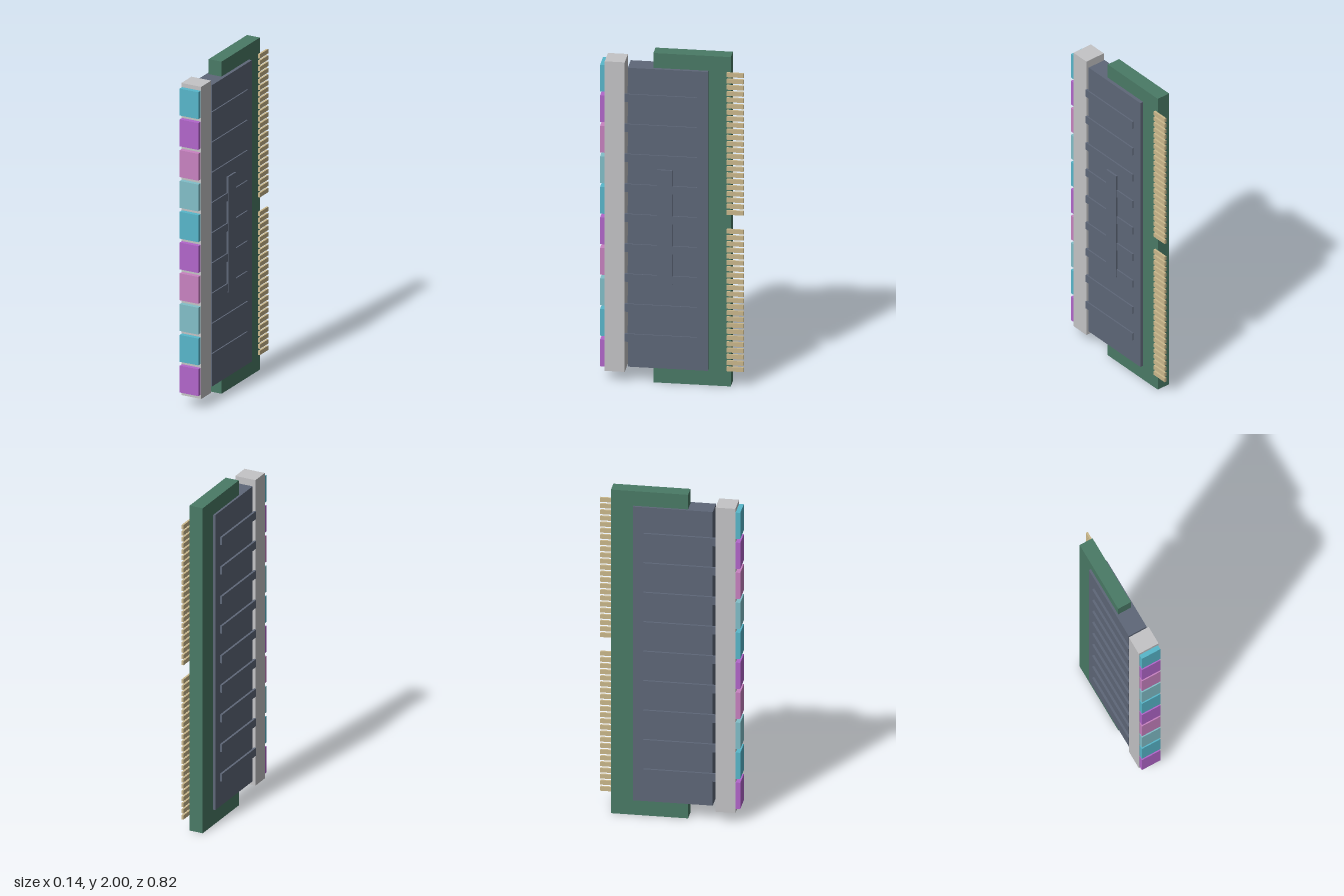
import * as THREE from 'three';

const mat = (name, color) => {
  const m = new THREE.MeshStandardMaterial({ color });
  m.name = name;
  return m;
};

export function createModel() {
  const board = mat('board green', 0x4a7a66);
  const metal = mat('slate metal', 0x5e6778);
  const silver = mat('light silver', 0xc4c4c6);
  const gold = mat('contact gold', 0xcbb88c);
  const lights = [
    mat('purple', 0xb266cb), mat('cyan', 0x58b7cb),
    mat('pale teal', 0x82bfc9), mat('pink', 0xc882c1),
  ];

  const model = new THREE.Group();
  model.name = 'memoryModule';

  // Box given by its extents on each axis
  const box = (name, material, [x0, x1], [y0, y1], [z0, z1], parent = model) => {
    const mesh = new THREE.Mesh(new THREE.BoxGeometry(x1 - x0, y1 - y0, z1 - z0), material);
    mesh.position.set((x0 + x1) / 2, (y0 + y1) / 2, (z0 + z1) / 2);
    mesh.name = name;
    parent.add(mesh);
  };
  const group = (name) => {
    const g = new THREE.Group();
    g.name = name;
    model.add(g);
    return g;
  };

  // Circuit board, heat spreader, light housing and raised side plate
  box('circuitBoard', board, [-0.045, 0.038], [0, 2], [-0.333, 0.107]);
  box('heatSpreader', metal, [-0.058, 0.058], [0.095, 1.91], [-0.205, 0.25]);
  box('lightHousing', silver, [-0.067, 0.061], [0.063, 1.943], [0.267, 0.381]);
  box('sidePlate', metal, [0.056, 0.069], [0.608, 1.303], [-0.004, 0.083]);

  // Cooling ribs on both faces, reaching forward to the housing
  const ribs = group('ribs');
  for (let i = 0; i < 9; i++) {
    const y = 0.273 + i * 0.182;
    box('leftRib', metal, [0.054, 0.066], [y - 0.024, y + 0.024], [-0.145, 0.267], ribs);
    box('rightRib', metal, [-0.071, -0.058], [y - 0.024, y + 0.024], [-0.145, 0.267], ribs);
  }

  // Coloured light segments along the front edge
  const segments = group('lightSegments');
  for (let i = 0; i < 10; i++) {
    const y = 0.088 + i * 0.1854;
    // From the bottom: purple, cyan, pale teal, pink, repeating
    box('lightSegment', lights[i % 4], [-0.063, 0.057], [y, y + 0.162], [0.381, 0.408], segments);
  }

  // Two rows of contact pins separated by the key gap
  const pins = group('contactPins');
  for (const start of [0.096, 1.046]) {
    for (let i = 0; i < 23; i++) {
      const y = start + i * 0.038;
      box('contactPin', gold, [0.038, 0.05], [y, y + 0.026], [-0.408, -0.311], pins);
    }
  }
  return model;
}
